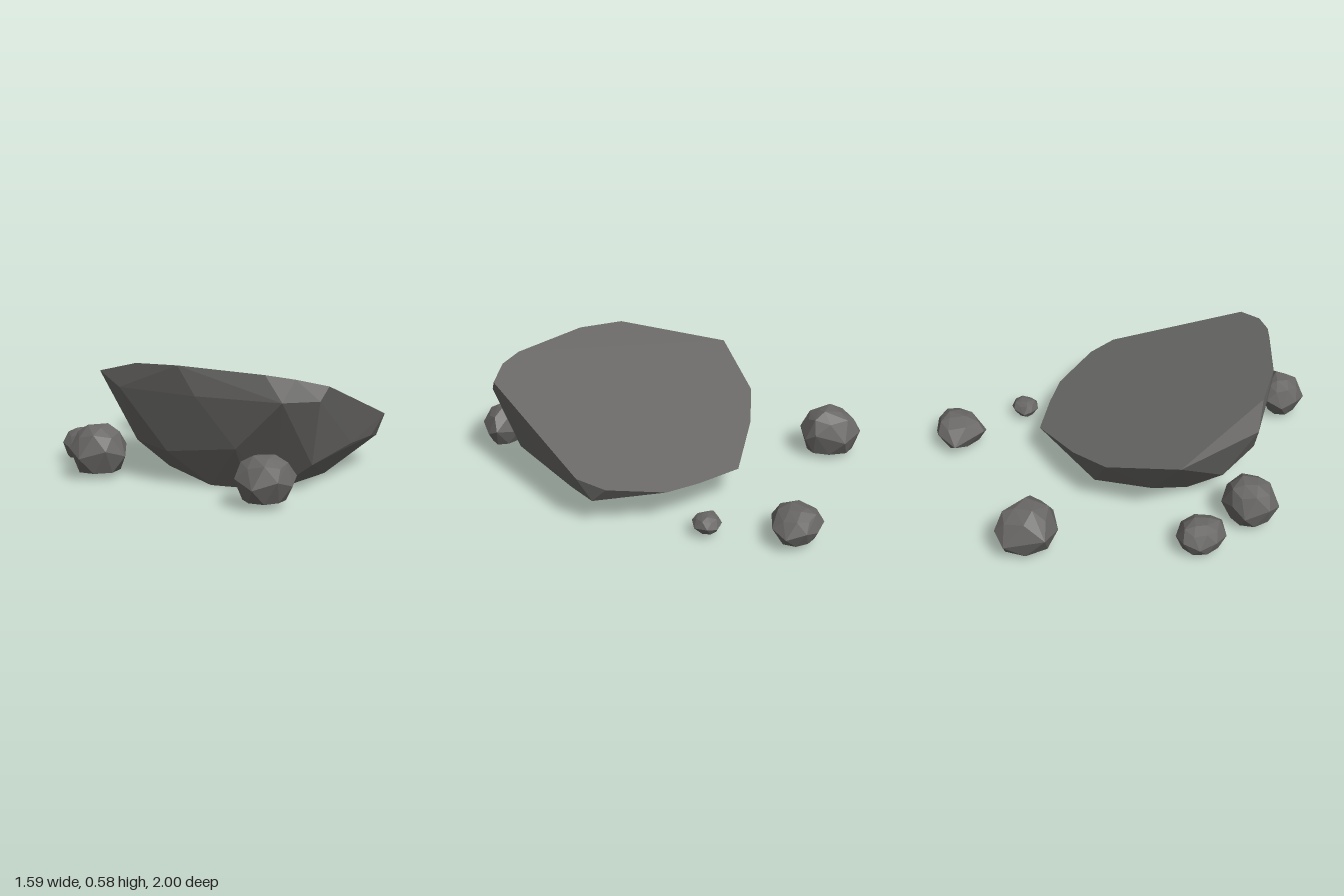
import * as THREE from 'three';
import { ConvexGeometry } from 'three/addons/geometries/ConvexGeometry.js';

const hull = (list) => new ConvexGeometry(list.map((p) => new THREE.Vector3(...p)));

// Slanted flat top of the boulder
const topHeight = (x, z) => 0.322 + 0.3375 * z - 0.044 * x;

function boulderGeometry() {
  // Rim of the slanted top, as x, z
  const rim = [
    [-0.6, 0.3], [-0.437, -0.06], [-0.245, -0.233], [0.06, -0.433], [0.3, -0.4], [0.48, -0.36],
    [0.72, -0.2], [0.793, -0.075], [0.725, 0.64], [0.6, 0.73], [0.47, 0.765], [0.05, 0.765], [-0.19, 0.7],
  ].map(([x, z]) => [x, topHeight(x, z), z]);
  // Widest ring under the front rim
  const brow = [[-0.29, 0.445, 0.68], [0.14, 0.445, 0.775], [0.56, 0.445, 0.79], [0.7, 0.445, 0.69]];
  // Lower shoulder
  const shoulder = [
    [-0.28, 0.16, 0.52], [-0.04, 0.16, 0.69], [0.32, 0.21, 0.735], [0.63, 0.13, 0.58],
    [0.715, 0.17, 0.24], [0.75, 0.165, 0.02], [0.74, 0.14, -0.12], [-0.29, 0.07, 0.17],
  ];
  // Flat footprint
  const foot = [
    [-0.19, 0, 0.35], [0.15, 0, 0.62], [0.33, 0, 0.61], [0.46, 0, 0.57],
    [0.57, 0, 0.2], [0.12, 0, -0.15], [-0.15, 0, -0.135],
  ];
  return hull([...rim, ...brow, ...shoulder, ...foot]);
}

// Faceted stone: rings shrunk from its widest outline (x, z), flat underneath
function stoneGeometry(outline, top, baseScale) {
  const bottom = 0.03;
  const cx = outline.reduce((sum, p) => sum + p[0], 0) / outline.length;
  const cz = outline.reduce((sum, p) => sum + p[1], 0) / outline.length;
  const between = outline.map(([x, z], i) => {
    const [nx, nz] = outline[(i + 1) % outline.length];
    return [(x + nx) / 2, (z + nz) / 2];
  });
  // Alternate corners sit higher and lower so the facets vary
  const ring = (points, scale, level, wobble) => points.map(([x, z], i) => [
    cx + (x - cx) * scale,
    bottom + (top - bottom) * (level + (i % 2 ? wobble : -wobble)),
    cz + (z - cz) * scale,
  ]);
  return hull([
    ...ring(between, baseScale, 0, 0),
    ...ring(outline, 1, 0.43, 0.08),
    ...ring(between, 0.78, 0.8, 0.04),
    ...ring(outline.filter((p, i) => i % 2), 0.35, 0.98, 0.02),
  ]);
}

export function createModel() {
  const group = new THREE.Group();
  group.name = 'rocks';
  const stone = new THREE.MeshStandardMaterial({ color: 0x686765 });
  stone.name = 'dark grey stone';

  const add = (name, geometry) => {
    const mesh = new THREE.Mesh(geometry, stone);
    mesh.name = name;
    group.add(mesh);
  };

  add('boulder', boulderGeometry());

  // Loose stones: name, top height, base scale, outline
  const stones = [
    ['backRightStone', 0.26, 0.8, [
      [-0.8, -0.53], [-0.72, -0.58], [-0.62, -0.57], [-0.52, -0.45],
      [-0.51, -0.39], [-0.56, -0.31], [-0.66, -0.28], [-0.79, -0.33]]],
    ['backStone', 0.187, 0.75, [
      [-0.02, -0.88], [0.06, -0.98], [0.13, -1], [0.21, -1],
      [0.285, -0.94], [0.28, -0.85], [0.15, -0.735], [0.1, -0.74]]],
    ['backPebble', 0.11, 0.75, [
      [0.32, -0.55], [0.36, -0.61], [0.41, -0.625], [0.46, -0.61],
      [0.475, -0.54], [0.44, -0.49], [0.39, -0.48], [0.33, -0.51]]],
    ['rightStone', 0.17, 0.85, [
      [-0.755, 0.4], [-0.73, 0.32], [-0.65, 0.285], [-0.57, 0.31],
      [-0.52, 0.42], [-0.55, 0.51], [-0.64, 0.53], [-0.72, 0.48]]],
    ['frontRightStone', 0.25, 0.8, [
      [-0.56, 0.62], [-0.5, 0.56], [-0.42, 0.51], [-0.33, 0.54],
      [-0.275, 0.66], [-0.33, 0.75], [-0.45, 0.795], [-0.53, 0.74]]],
    ['frontLeftStone', 0.23, 0.72, [
      [0.37, 0.87], [0.4, 0.79], [0.5, 0.77], [0.63, 0.79],
      [0.635, 0.86], [0.6, 0.95], [0.5, 1], [0.4, 0.95]]],
  ];
  for (const [name, top, baseScale, outline] of stones) add(name, stoneGeometry(outline, top, baseScale));
  return group;
}
